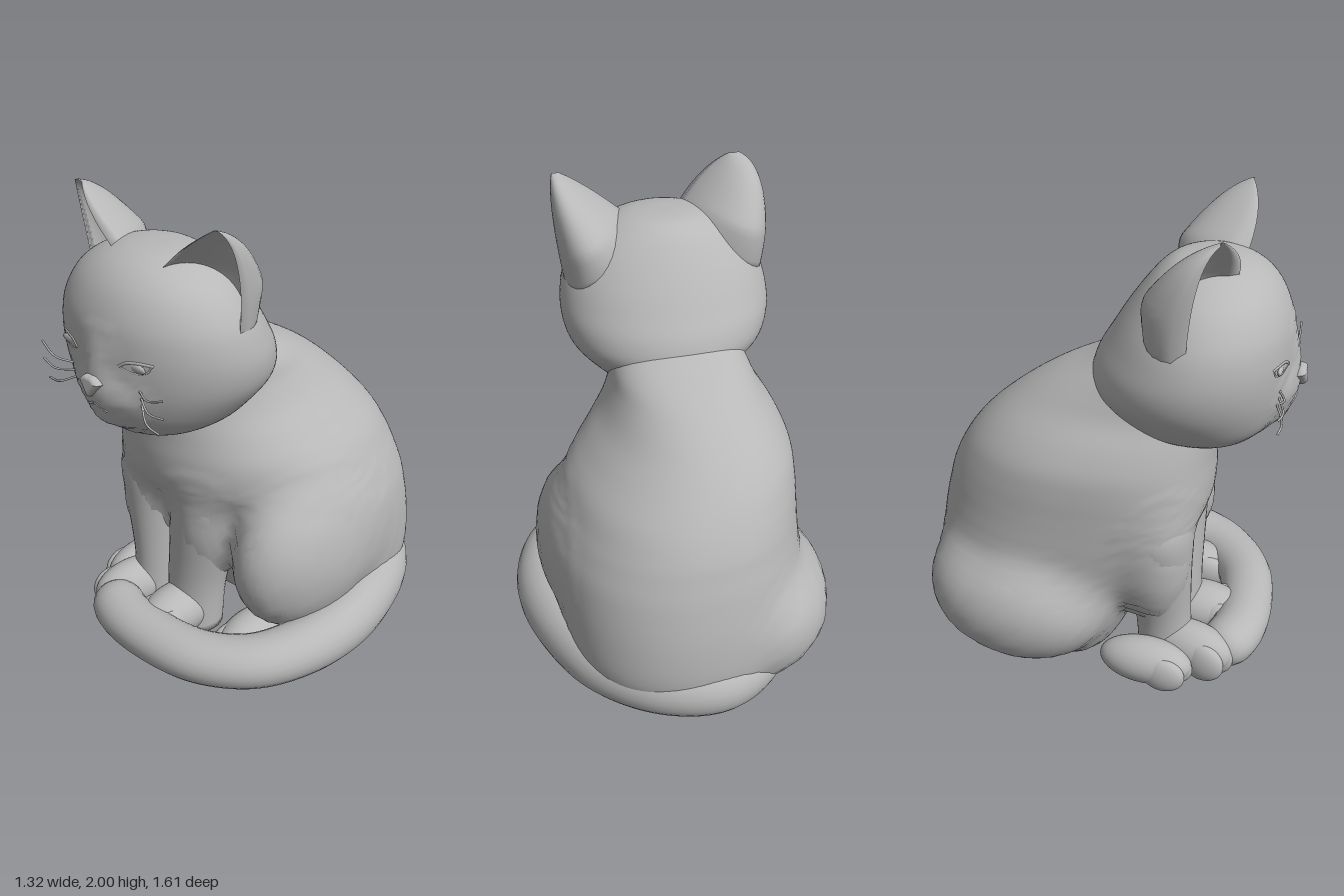
import * as THREE from 'three';

const V = (x, y, z) => new THREE.Vector3(x, y, z);

// Catmull-Rom resampling of a short table of cross-section rows
function resample(rows, steps = 5) {
  const out = [], at = i => rows[Math.min(Math.max(i, 0), rows.length - 1)];
  for (let i = 0; i < rows.length - 1; i++) {
    for (let s = 0; s < steps; s++) {
      const t = s / steps;
      out.push(rows[i].map((b, k) => {
        const a = at(i - 1)[k], c = at(i + 1)[k], d = at(i + 2)[k];
        return 0.5 * (2 * b + (c - a) * t + (2 * a - 5 * b + 4 * c - d) * t * t + (3 * b - a - 3 * c + d) * t ** 3);
      }));
    }
  }
  out.push(rows[rows.length - 1]);
  return out;
}

// Skin closed rings of points and cap both ends
function loft(rings) {
  const n = rings[0].length, pts = rings.flat(), index = [];
  for (let i = 0; i < rings.length - 1; i++) {
    for (let j = 0; j < n; j++) {
      const a = i * n + j, c = i * n + (j + 1) % n;
      index.push(a, a + n, c, c, a + n, c + n);
    }
  }
  [0, rings.length - 1].forEach((r, end) => {
    const mid = pts.length;
    pts.push(rings[r].reduce((s, p) => s.add(p), V(0, 0, 0)).divideScalar(n));
    for (let j = 0; j < n; j++) {
      const a = r * n + j, b = r * n + (j + 1) % n;
      index.push(mid, end ? b : a, end ? a : b);
    }
  });
  const g = new THREE.BufferGeometry().setFromPoints(pts);
  g.setIndex(index);
  g.computeVertexNormals();
  return g;
}

// Horizontal rings from rows [y, xMin, xMax, zBack, zFront]
function stack(rows, { power = 2, chestX = null, segments = 96 } = {}) {
  const bend = v => Math.sign(v) * Math.abs(v) ** (2 / power);
  return loft(rows.map(([y, x0, x1, z0, z1]) => {
    const xc = (x0 + x1) / 2;
    return Array.from({ length: segments }, (_, j) => {
      const a = (j / segments) * Math.PI * 2, c = bend(Math.cos(a)), s = bend(Math.sin(a));
      const front = Math.max(0, s) ** 2;
      const shift = chestX === null ? 0 : (chestX - xc) * front;
      return V(xc + c * (x1 - x0) / 2 + shift, y, (z0 + z1) / 2 + s * (z1 - z0) / 2);
    });
  }));
}

// Push a surface point outwards over nearby ellipsoids [centre, radii], with a soft fillet k
function puff(p, normal, lumps, k) {
  const outside = t => lumps.reduce((d, [c, r]) => {
    const q = p.clone().addScaledVector(normal, t).sub(V(...c)).divide(V(...r));
    const len = q.length(), e = len * (len - 1) / Math.max(1e-6, q.divide(V(...r)).length());
    const h = Math.max(0, k - Math.abs(d - e)) / k;
    return Math.min(d, e) - h * h * k / 4;
  }, t);
  let t = 0;
  while (t < 0.4 && outside(t) < 0) t += 0.004;
  return p.clone().addScaledVector(normal, t);
}

function swell(geometry, lumps, k) {
  const pos = geometry.attributes.position, nor = geometry.attributes.normal;
  for (let i = 0; i < pos.count; i++) {
    const p = puff(V(0, 0, 0).fromBufferAttribute(pos, i), V(0, 0, 0).fromBufferAttribute(nor, i), lumps, k);
    pos.setXYZ(i, p.x, p.y, p.z);
  }
  geometry.computeVertexNormals();
  return geometry;
}

const headRows = resample([
  [1.06, -0.16, -0.03, 0.38, 0.52], [1.09, -0.3, 0.09, 0.24, 0.61], [1.14, -0.4, 0.18, 0.11, 0.665],
  [1.2, -0.46, 0.24, 0.03, 0.71], [1.3, -0.53, 0.31, -0.04, 0.735], [1.4, -0.56, 0.337, -0.025, 0.745],
  [1.5, -0.556, 0.333, 0.03, 0.745], [1.6, -0.525, 0.305, 0.09, 0.73], [1.7, -0.455, 0.24, 0.16, 0.685],
  [1.77, -0.36, 0.145, 0.22, 0.62], [1.81, -0.26, 0.05, 0.28, 0.54], [1.823, -0.16, -0.05, 0.36, 0.46],
]);

// Muzzle, nose bridge and chin
const faceLumps = [
  [[-0.09, 1.31, 0.665], [0.15, 0.09, 0.1]], [[-0.09, 1.4, 0.68], [0.05, 0.13, 0.075]],
  [[-0.09, 1.215, 0.655], [0.08, 0.05, 0.075]],
];
const faceSoft = 0.07;

// Point of the face surface seen from the front
function facePoint(x, y, lift) {
  const i = Math.max(1, headRows.findIndex(r => r[0] >= y)), a = headRows[i - 1], b = headRows[i];
  const t = (y - a[0]) / (b[0] - a[0]);
  const [, x0, x1, z0, z1] = a.map((v, k) => v + (b[k] - v) * t);
  const u = (x - (x0 + x1) / 2) / ((x1 - x0) / 2);
  const z = (z0 + z1) / 2 + (z1 - z0) / 2 * Math.sqrt(Math.max(0, 1 - u * u));
  return puff(V(x, y, z), V(0, 0, 1), faceLumps, faceSoft).add(V(0, 0, lift));
}

export function createModel() {
  const model = new THREE.Group();
  model.name = 'sittingCat';
  const clay = new THREE.MeshStandardMaterial({ color: 0xb8b8b8 });
  clay.name = 'grey clay';

  const add = (name, geometry, parent = model) => {
    const mesh = new THREE.Mesh(geometry, clay);
    mesh.name = name;
    parent.add(mesh);
    return mesh;
  };
  const blob = (name, pos, size, parent = model) => {
    const m = add(name, new THREE.SphereGeometry(1, 40, 28), parent);
    m.position.set(...pos);
    m.scale.set(...size);
  };
  const wire = (name, points, radius, parent) =>
    add(name, new THREE.TubeGeometry(new THREE.CatmullRomCurve3(points), 14, radius, 6), parent);

  // Body: hollowed underside, broad hips leaning into an offset chest, swollen over haunches and shoulders
  const leftHaunch = [[0.33, 0.455, 0.0], [0.23, 0.37, 0.4]];
  const rightHaunch = [[-0.455, 0.295, -0.28], [0.2, 0.255, 0.34]];
  const rump = [[-0.33, 0.3, -0.48], [0.23, 0.26, 0.25]];
  const shoulders = [[[-0.335, 0.58, 0.265], [0.155, 0.34, 0.155]], [[-0.01, 0.58, 0.265], [0.165, 0.34, 0.155]]];
  add('body', swell(stack(resample([
    [0.14, -0.07, 0.05, -0.32, -0.2], [0.06, -0.22, 0.2, -0.46, -0.08],
    [0.015, -0.38, 0.34, -0.6, 0.02], [0.06, -0.46, 0.42, -0.7, 0.08], [0.2, -0.5, 0.49, -0.765, 0.15],
    [0.4, -0.52, 0.51, -0.765, 0.23], [0.6, -0.53, 0.51, -0.735, 0.35], [0.72, -0.53, 0.485, -0.705, 0.43],
    [0.8, -0.53, 0.455, -0.68, 0.465], [0.9, -0.53, 0.41, -0.63, 0.475], [1.0, -0.52, 0.33, -0.56, 0.475],
    [1.1, -0.48, 0.25, -0.465, 0.48], [1.2, -0.42, 0.2, -0.34, 0.48], [1.28, -0.39, 0.18, -0.21, 0.48],
    [1.36, -0.36, 0.14, -0.045, 0.45], [1.45, -0.26, 0.06, 0.1, 0.4],
  ]), { power: 2.15, chestX: -0.17 }), [leftHaunch, rightHaunch, rump, ...shoulders], 0.08));
  blob('leftHaunch', ...leftHaunch);
  blob('rightHaunch', ...rightHaunch);

  // Front legs, merging into the shoulders
  add('rightFrontLeg', stack(resample([
    [0.02, -0.41, -0.2, 0.2, 0.44], [0.25, -0.41, -0.195, 0.18, 0.42], [0.5, -0.465, -0.185, 0.13, 0.42],
    [0.68, -0.495, -0.18, 0.12, 0.425], [0.8, -0.46, -0.2, 0.14, 0.41], [0.95, -0.42, -0.24, 0.18, 0.36],
  ]), { segments: 32 }));
  add('leftFrontLeg', stack(resample([
    [0.02, -0.185, 0.07, 0.2, 0.44], [0.25, -0.195, 0.085, 0.18, 0.42], [0.5, -0.19, 0.14, 0.13, 0.42],
    [0.68, -0.18, 0.16, 0.12, 0.42], [0.8, -0.16, 0.12, 0.14, 0.4], [0.95, -0.14, 0.06, 0.18, 0.34],
  ]), { segments: 32 }));

  // Paws with toes
  const paw = (name, x, y, z, w, turn) => {
    const g = new THREE.Group();
    g.name = name;
    g.position.set(x, 0, z);
    g.rotation.y = turn;
    model.add(g);
    blob('foot', [0, y, 0], [w, y, 0.2], g);
    for (const k of [-1, 0, 1]) {
      blob('toe', [k * w * 0.58, y * 0.85, 0.11 - Math.abs(k) * 0.02], [w * 0.42, y * 0.8, 0.095], g);
    }
  };
  paw('rightFrontPaw', -0.34, 0.115, 0.42, 0.105, -0.2);
  paw('leftFrontPaw', -0.06, 0.115, 0.42, 0.12, 0);
  paw('rightHindPaw', -0.46, 0.1, 0.26, 0.1, -0.05);
  paw('leftHindPaw', 0.28, 0.1, 0.3, 0.11, 0.1);

  // Tail growing out of the rump and sweeping round the left side to the front paws
  const path = new THREE.CatmullRomCurve3([
    [-0.34, -0.42], [-0.23, -0.59], [-0.06, -0.675], [0.16, -0.625], [0.37, -0.45], [0.49, -0.2], [0.535, 0.03],
    [0.51, 0.25], [0.42, 0.44], [0.24, 0.57], [0.02, 0.615], [-0.2, 0.605], [-0.38, 0.53],
  ].map(([x, z]) => V(x, 0, z)));
  const tailRings = [];
  for (let i = 0; i <= 80; i++) {
    const u = i / 80, c = path.getPointAt(u), t = path.getTangentAt(u);
    const side = t.clone().cross(V(0, 1, 0)).normalize();
    const round = Math.sqrt(Math.max(0.01, 1 - Math.max(0, (u - 0.95) / 0.05) ** 2));
    const high = 0.137 - 0.032 * THREE.MathUtils.smoothstep(u, 0.42, 0.75), wide = 0.135 - 0.02 * u;
    tailRings.push(Array.from({ length: 24 }, (_, j) => {
      const a = (j / 24) * Math.PI * 2;
      return c.clone().addScaledVector(side, wide * round * Math.cos(a))
        .setY(0.008 + high + high * round * Math.sin(a));
    }));
  }
  add('tail', loft(tailRings));

  // Head
  const head = new THREE.Group();
  head.name = 'head';
  model.add(head);
  add('skull', swell(stack(headRows), faceLumps, faceSoft), head);

  // Ears: curved shells between an outer and an inner edge, hollow to the front
  const ear = (name, outer, inner, leftSide) => {
    const curve = p => new THREE.QuadraticBezierCurve3(...p.map(q => V(...q)));
    const a = curve(leftSide ? outer : inner), b = curve(leftSide ? inner : outer);
    const rings = [];
    for (let i = 0; i <= 22; i++) {
      const u = i / 22, p = a.getPoint(u), q = b.getPoint(u);
      const mid = p.clone().add(q).multiplyScalar(0.5), half = p.clone().sub(q).multiplyScalar(0.5);
      const depth = 0.012 + 0.3 * (1 - u) ** 0.9 * (0.7 + 0.3 * Math.min(1, u / 0.25));
      rings.push(Array.from({ length: 32 }, (_, j) => {
        const t = (j / 32) * Math.PI * 2, s = Math.sin(t), hollow = s > 0;
        const v = mid.clone().addScaledVector(half, Math.cos(t) * (hollow ? 0.88 : 1));
        v.z += hollow ? -0.6 * depth * s : depth * s;
        return v;
      }));
    }
    // root tucked into the skull
    rings.unshift(rings[0].map(v => v.clone().lerp(V(-0.11, 1.45, 0.38), 0.35)));
    add(name, loft(rings), head);
  };
  ear('rightEar', [[-0.535, 1.53, 0.39], [-0.6, 1.95, 0.41], [-0.475, 1.995, 0.5]],
    [[-0.19, 1.75, 0.52], [-0.32, 1.92, 0.58], [-0.43, 1.995, 0.5]], false);
  ear('leftEar', [[0.312, 1.53, 0.39], [0.37, 1.9, 0.41], [0.328, 1.985, 0.5]],
    [[-0.02, 1.75, 0.52], [0.16, 1.9, 0.58], [0.298, 1.985, 0.5]], true);

  // Eyes, whiskers and mouth, following the face surface
  const onFace = (pts, lift) => pts.map(([x, y]) => facePoint(x, y, lift));
  for (const s of [-1, 1]) {
    const x = -0.093 + s * 0.18, side = s > 0 ? 'left' : 'right';
    blob(side + 'Eye', facePoint(x, 1.457, -0.006).toArray(), [0.055, 0.018, 0.011], head);
    wire(side + 'UpperLid', onFace([[x - s * 0.065, 1.45], [x - s * 0.03, 1.472], [x + s * 0.02, 1.478],
      [x + s * 0.07, 1.474]], -0.001), 0.006, head);
    wire(side + 'LowerLid', onFace([[x - s * 0.06, 1.448], [x, 1.434], [x + s * 0.045, 1.445],
      [x + s * 0.06, 1.47]], -0.001), 0.004, head);
    for (const [y0, y1, reach] of [[1.36, 1.4, 0.36], [1.33, 1.325, 0.36], [1.3, 1.25, 0.33]]) {
      const p = facePoint(-0.085 + s * 0.18, y0, -0.005);
      const end = V(-0.085 + s * reach, y1, 0.735);
      const mid = p.clone().lerp(end, 0.5).add(V(0, -0.012, 0.02));
      wire(side + 'Whisker', [p, mid, end], 0.0045, head);
    }
    wire(side + 'Mouth', onFace([[-0.09, 1.272], [-0.09 + s * 0.03, 1.257], [-0.09 + s * 0.06, 1.243]], -0.001),
      0.006, head);
  }

  // Nose: small rounded triangle
  const noseShape = new THREE.Shape();
  noseShape.moveTo(0, -0.025).lineTo(0.03, 0.01).quadraticCurveTo(0.02, 0.022, 0, 0.018)
    .quadraticCurveTo(-0.02, 0.022, -0.03, 0.01).closePath();
  const nose = add('nose', new THREE.ExtrudeGeometry(noseShape, {
    depth: 0.02, bevelEnabled: true, bevelThickness: 0.025, bevelSize: 0.018, bevelSegments: 6,
  }), head);
  nose.position.set(-0.088, 1.352, 0.758);
  nose.rotation.x = -0.15;

  return model;
}
